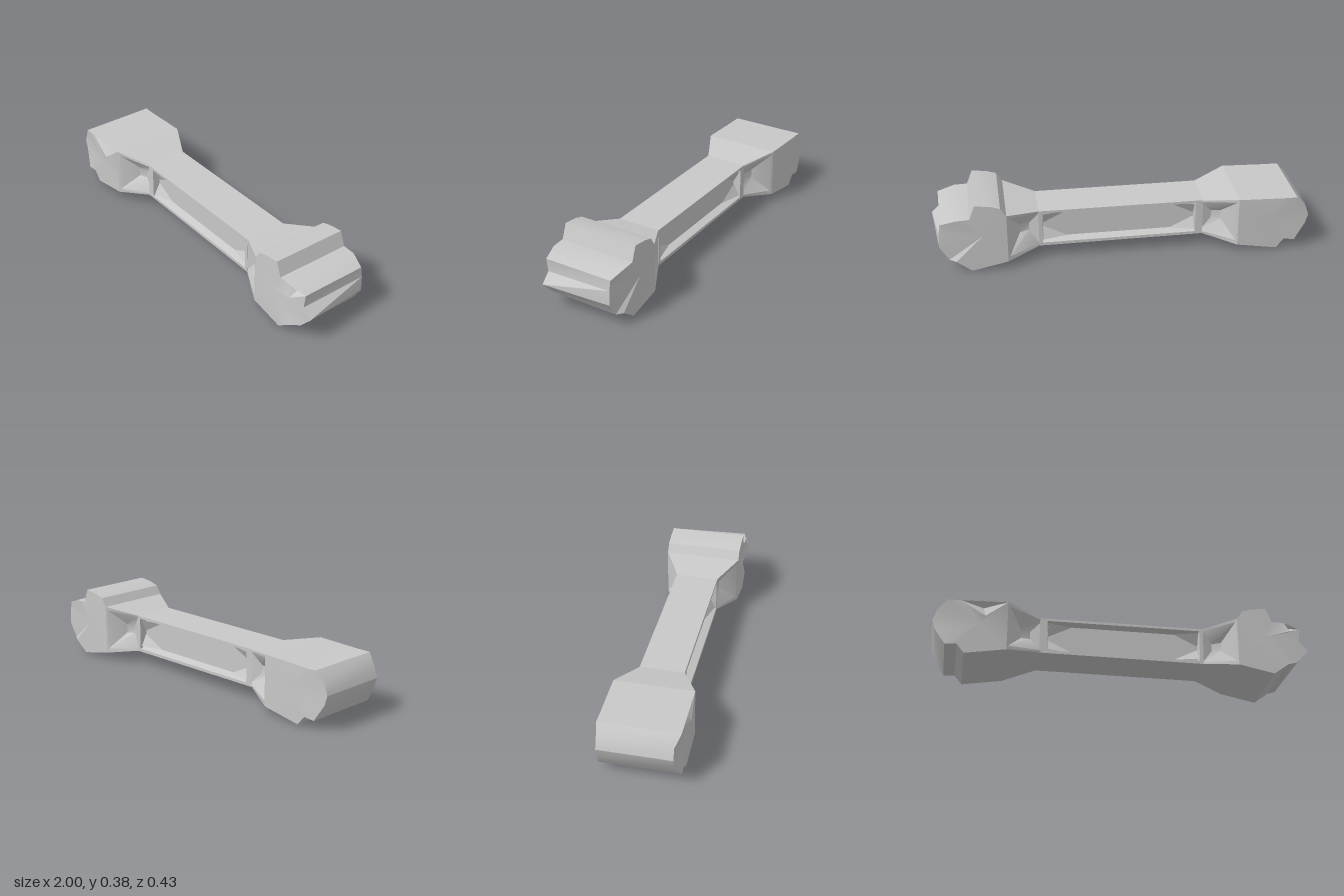
import * as THREE from 'three';
import { toCreasedNormals } from 'three/addons/utils/BufferGeometryUtils.js';

const Z0 = -0.007; // the body sits slightly off centre in z
const HEAD = 0.207, BAR = 0.117; // half depths

const steel = new THREE.MeshStandardMaterial({ color: 0xc8c8c8 });
steel.name = 'grey metal';

// Collects faces and turns them into one mesh, smooth over shallow edges
function builder(name) {
  const pos = [];
  const poly = (pts, flip = false) => {
    const p = flip ? [...pts].reverse() : pts;
    for (let i = 1; i < p.length - 1; i++) pos.push(...p[0], ...p[i], ...p[i + 1]);
  };
  const mesh = () => {
    const g = new THREE.BufferGeometry();
    g.setAttribute('position', new THREE.Float32BufferAttribute(pos, 3));
    const m = new THREE.Mesh(toCreasedNormals(g, 0.5), steel);
    m.name = name;
    return m;
  };
  return { poly, mesh };
}

const side = (x, y, s, d) => [x, y, Z0 + s * d];

// Head: outline [x, y, backX, backY] joined front to back, chamfered outer end, slightly domed sides
function makeHead(name, outline, centre, dent) {
  const b = builder(name);
  const at = ([x, y, backX = x, backY = y], s) => {
    let d = HEAD;
    if (x > 0.9) d -= 0.022;
    if (x < -0.95) d -= s > 0 ? 0.025 : 0.01;
    return s > 0 ? side(x, y, s, d) : side(backX, backY, s, d);
  };
  const n = outline.length;
  for (let i = 0; i < n; i++) {
    const p = outline[i], q = outline[(i + 1) % n];
    if (i < n - 1) b.poly([at(p, 1), at(p, -1), at(q, -1), at(q, 1)]);
    for (const s of [1, -1]) {
      const mid = side(...centre, s, HEAD + 0.003);
      if (s > 0 && i === dent.edge) {
        // small fold below the upper edge
        const tip = side(...dent.tip, s, HEAD + dent.out);
        const deep = side(...dent.deep, s, HEAD + dent.depth);
        b.poly([mid, at(p, s), tip]);
        b.poly([mid, tip, at(q, s)]);
        b.poly([tip, at(p, s), deep]);
        b.poly([deep, at(p, s), at(q, s)]);
        b.poly([tip, deep, at(q, s)]);
      } else {
        b.poly([mid, at(p, s), at(q, s)], s < 0);
      }
    }
  }
  return b.mesh();
}

// Sides made of nested four-point rings [x0, x1, yBottom0, yTop0, yBottom1, yTop1, depth0, depth1]
function addPocket(b, rings) {
  for (const s of [1, -1]) {
    const pts = rings.map(([x0, x1, b0, t0, b1, t1, d0, d1]) => [
      side(x0, b0, s, d0), side(x1, b1, s, d1), side(x1, t1, s, d1), side(x0, t0, s, d0),
    ]);
    for (let r = 0; r < pts.length - 1; r++) {
      for (let k = 0; k < 4; k++) {
        const j = (k + 1) % 4;
        b.poly([pts[r][k], pts[r][j], pts[r + 1][j], pts[r + 1][k]], s < 0);
      }
    }
    b.poly(pts[pts.length - 1], s < 0);
  }
}

// Top and bottom skins between two stations
function addSkins(b, [x0, x1, b0, t0, b1, t1, d0, d1]) {
  b.poly([side(x0, t0, 1, d0), side(x1, t1, 1, d1), side(x1, t1, -1, d1), side(x0, t0, -1, d0)]);
  b.poly([side(x0, b0, 1, d0), side(x1, b1, 1, d1), side(x1, b1, -1, d1), side(x0, b0, -1, d0)], true);
}

function makeSpan(name, rings) {
  const b = builder(name);
  addSkins(b, rings[0]);
  addPocket(b, rings);
  return b.mesh();
}

// Sloping triangles that fill the corners of the long panel
function makeGussets() {
  const b = builder('cornerGussets');
  for (const s of [1, -1]) for (const ex of [1, -1]) for (const ey of [1, -1]) {
    const x = 0.01 + ex * 0.405, y = 0.177 + ey * 0.075;
    b.poly([
      side(x, y, s, BAR - 0.005),
      side(x - ex * 0.13, y, s, 0.078),
      side(x, y - ey * 0.065, s, 0.078),
    ], s * ex * ey < 0);
  }
  return b.mesh();
}

export function createModel() {
  const group = new THREE.Group();
  group.name = 'linkArm';

  // Larger head with a raised step and a slanted nose
  group.add(makeHead('steppedHead', [
    [0.61, 0.04], [0.8, 0], [0.88, 0.06], [0.935, 0.082, 0.915, 0.064],
    [1, 0.155, 0.963, 0.14], [0.95, 0.205, 0.96, 0.22], [0.96, 0.28, 0.95, 0.272],
    [0.87, 0.3], [0.8, 0.303], [0.77, 0.38], [0.69, 0.37], [0.64, 0.355], [0.61, 0.31],
  ], [0.74, 0.2],
  { edge: 6, tip: [0.89, 0.245], out: 0.017, deep: [0.9, 0.28], depth: -0.025 }));

  // Smaller rounded head
  group.add(makeHead('roundedHead', [
    [-0.615, 0.31], [-0.86, 0.303], [-0.93, 0.303], [-0.98, 0.25], [-1, 0.19],
    [-0.985, 0.14], [-0.93, 0.05], [-0.87, 0.055], [-0.83, 0.005], [-0.615, 0.04],
  ], [-0.76, 0.18],
  { edge: 0, tip: [-0.73, 0.22], out: 0.006, deep: [-0.74, 0.28], depth: -0.03 }));

  // Flared necks with pits in their sides
  group.add(makeSpan('rightNeck', [
    [-0.615, -0.44, 0.04, 0.31, 0.075, 0.276, HEAD, BAR],
    [-0.605, -0.425, 0.065, 0.29, 0.09, 0.265, 0.2, 0.113],
    [-0.54, -0.49, 0.155, 0.205, 0.16, 0.2, 0.11, 0.095],
  ]));
  group.add(makeSpan('leftNeck', [
    [0.44, 0.61, 0.07, 0.276, 0.04, 0.31, BAR, HEAD],
    [0.44, 0.6, 0.085, 0.265, 0.065, 0.29, 0.115, 0.2],
    [0.49, 0.54, 0.16, 0.2, 0.155, 0.205, 0.095, 0.11],
  ]));

  // Shank with a long recessed panel on each side
  group.add(makeSpan('shank', [
    [-0.44, 0.44, 0.075, 0.276, 0.07, 0.276, BAR, BAR],
    [-0.4, 0.42, 0.09, 0.262, 0.087, 0.262, BAR, BAR],
    [-0.395, 0.415, 0.104, 0.252, 0.102, 0.25, 0.077, 0.077],
  ]));
  group.add(makeGussets());
  return group;
}
